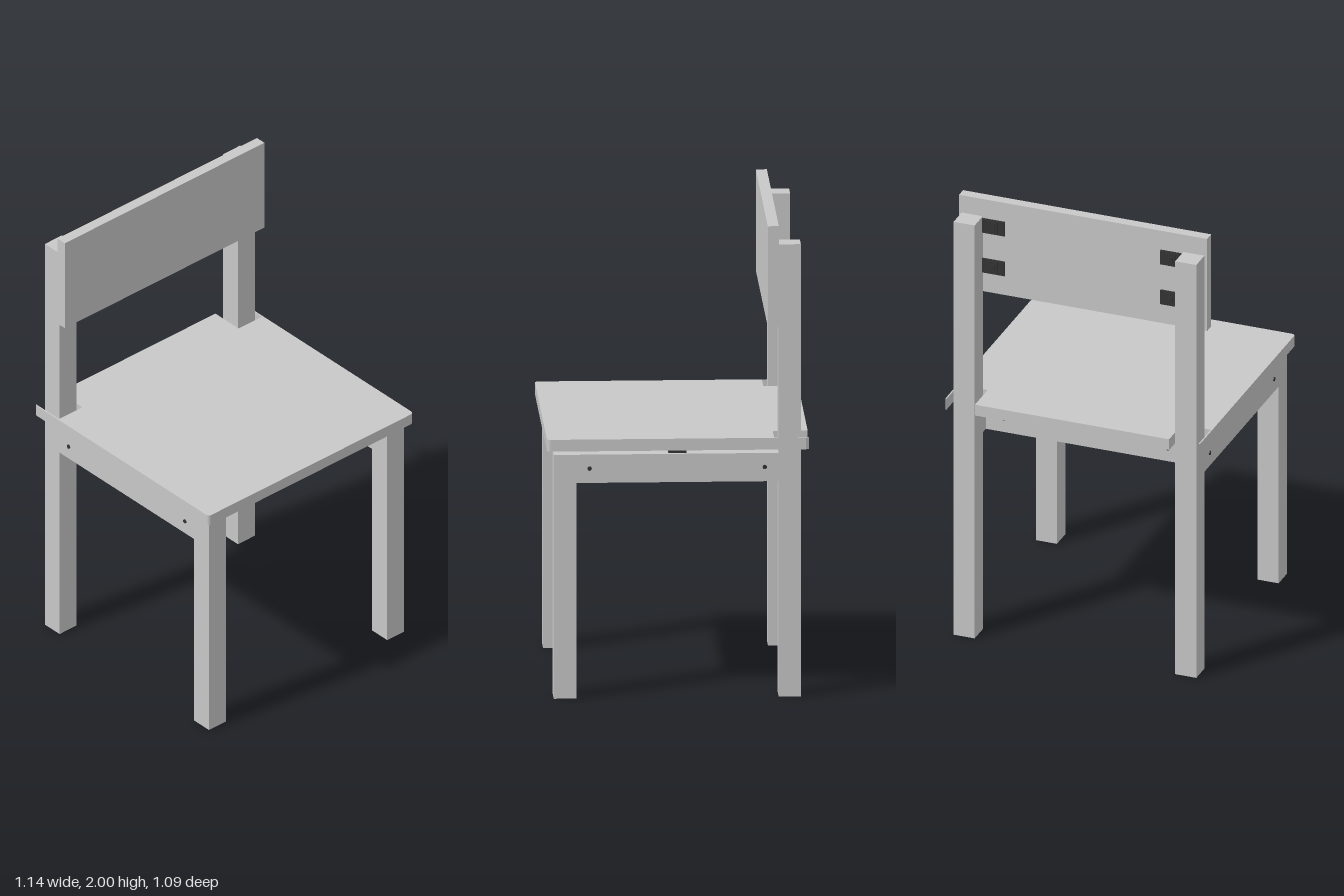
import * as THREE from 'three';

export function createModel() {
  const model = new THREE.Group();
  const paint = new THREE.MeshStandardMaterial({ color: 0xc8c8c8 });
  paint.name = 'light grey wood';
  const metal = new THREE.MeshStandardMaterial({ color: 0x333333 });
  metal.name = 'dark metal';

  const add = (name, geo, mat, parent = model) => {
    const mesh = new THREE.Mesh(geo, mat);
    mesh.name = name;
    parent.add(mesh);
    return mesh;
  };
  // box given by its limits on each axis
  const block = (name, x0, x1, y0, y1, z0, z1, mat = paint) => {
    const mesh = add(name, new THREE.BoxGeometry(x1 - x0, y1 - y0, z1 - z0), mat);
    mesh.position.set((x0 + x1) / 2, (y0 + y1) / 2, (z0 + z1) / 2);
    return mesh;
  };

  // seat board: rounded front corners, notches around the rear posts
  const W = 0.568, F = 0.543, B = -0.545, r = 0.018;
  const s = new THREE.Shape();
  s.moveTo(-W + r, F);
  s.quadraticCurveTo(-W, F, -W, F - r);
  s.lineTo(-W, B + 0.012);
  s.lineTo(-0.562, B);
  s.lineTo(-0.562, -0.4);
  s.lineTo(-0.433, -0.4);
  s.lineTo(-0.433, B);
  s.lineTo(0.433, B);
  s.lineTo(0.433, -0.4);
  s.lineTo(0.562, -0.4);
  s.lineTo(0.562, B);
  s.lineTo(W, B + 0.012);
  s.lineTo(W, F - r);
  s.quadraticCurveTo(W, F, W - r, F);
  const seatGeo = new THREE.ExtrudeGeometry(s, { depth: 0.05, bevelEnabled: false, curveSegments: 5 });
  seatGeo.rotateX(Math.PI / 2);
  add('seat', seatGeo, paint).position.y = 1.105;

  // backrest panel
  block('backrest', -0.553, 0.553, 1.572, 2, -0.42, -0.374);

  // cross rails, set inside the legs
  block('frontRail', -0.447, 0.447, 0.915, 1.035, 0.34, 0.385);
  block('backRail', -0.447, 0.447, 0.915, 1.035, -0.385, -0.34);

  // screw head: short cylinder along x or z
  const screw = (x, z, alongX) => {
    const geo = new THREE.CylinderGeometry(0.009, 0.009, 0.008, 12);
    if (alongX) geo.rotateZ(Math.PI / 2);
    else geo.rotateX(Math.PI / 2);
    add('screwHead', geo, metal).position.set(x, 0.976, z);
  };

  // metal clip: two leaves and a raised knuckle, lying flat, length along x
  const clip = (name, len, wide) => {
    const g = new THREE.Group();
    g.name = name;
    const part = (n, w, h, d, x, y) => add(n, new THREE.BoxGeometry(w, h, d), metal, g).position.set(x, y, 0);
    part('clipPlate', len, 0.008, wide, 0, 0.004);
    part('clipKnuckle', len * 0.45, 0.005, wide * 0.8, 0.004, 0.0105);
    part('clipBolt', 0.022, 0.006, 0.022, 0.004, 0.016);
    model.add(g);
    return g;
  };

  for (const m of [-1, 1]) {
    const side = (name, x0, x1, ...rest) => block(name, Math.min(m * x0, m * x1), Math.max(m * x0, m * x1), ...rest);

    // legs and side rail, flush on the outside
    side('frontLeg', 0.447, 0.541, 0, 1.035, 0.42, 0.514);
    side('backPost', 0.447, 0.541, 0, 1.92, -0.512, -0.42);
    side('sideRail', 0.447, 0.541, 0.915, 1.035, -0.42, 0.42);

    // screws through the rails
    for (const z of [0.385, 0.34, -0.34, -0.385]) screw(m * 0.365, z, false);
    for (const z of [0.365, -0.362]) screw(m * 0.541, z, true);

    // backrest clips beside the posts
    for (const y of [1.695, 1.88]) {
      const c = clip('backrestClip', 0.1, 0.065);
      c.rotation.x = -Math.PI / 2;
      c.position.set(m * 0.397, y, -0.42);
    }

    // clips joining the rails to the seat
    clip('sideSeatClip', 0.17, 0.075).position.set(m * 0.445, 1.036, 0);
    for (const e of [-1, 1]) {
      const c = clip('cornerSeatClip', 0.135, 0.075);
      c.rotation.y = Math.PI / 2;
      c.position.set(m * 0.395, 1.036, e * 0.322);
    }
  }
  return model;
}
